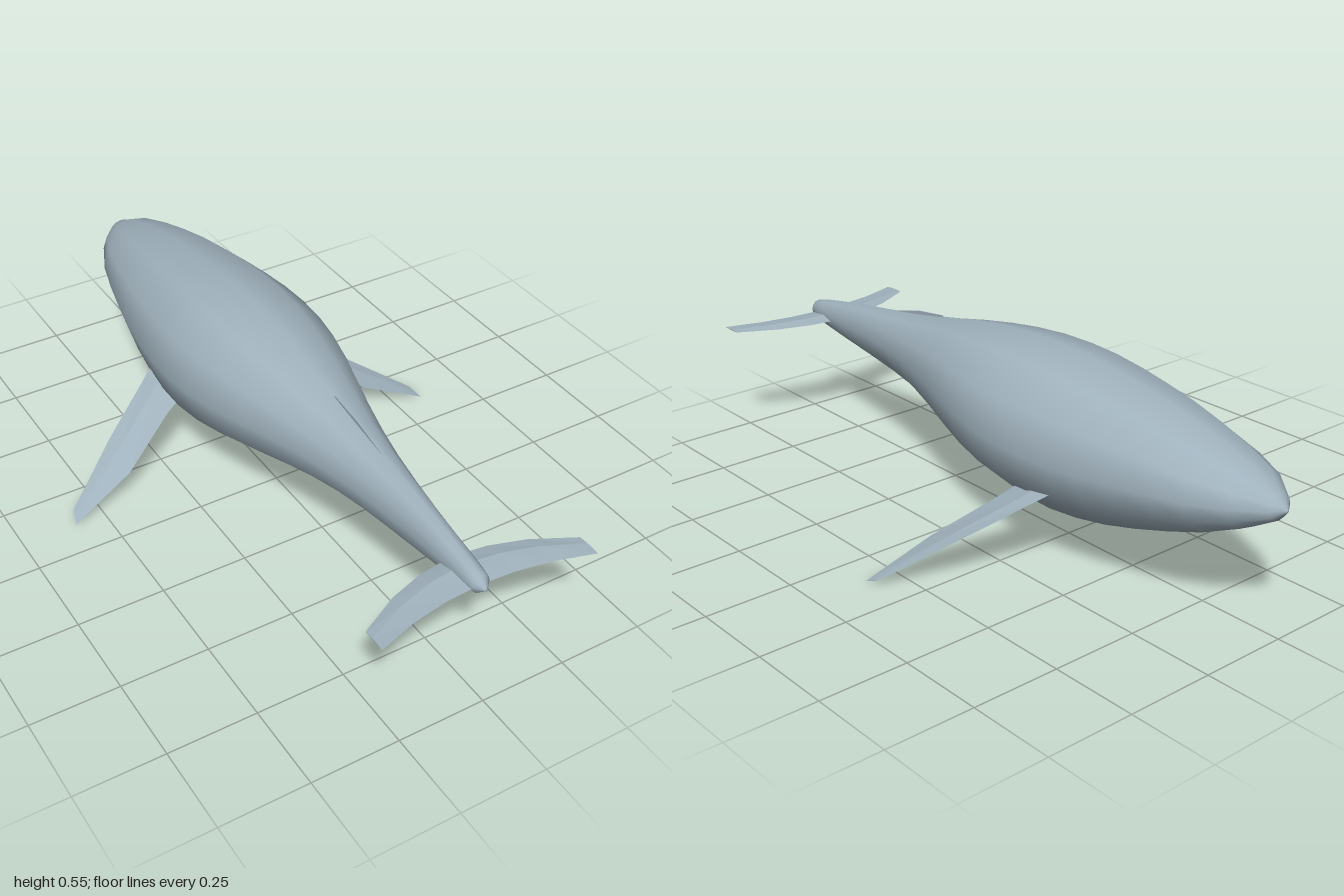
import * as THREE from 'three';

// Skin a list of closed rings (arrays of [x, y, z]) and cap both ends.
function loft(rings, { flip = false, smooth = false } = {}) {
  const n = rings[0].length, last = (rings.length - 1) * n;
  const index = [];
  const tri = (a, b, c) => (flip ? index.push(a, c, b) : index.push(a, b, c));
  for (let i = 0; i < rings.length - 1; i++) {
    for (let j = 0; j < n; j++) {
      const a = i * n + j, b = i * n + (j + 1) % n;
      tri(a, a + n, b);
      tri(b, a + n, b + n);
    }
  }
  for (let k = 1; k < n - 1; k++) {
    tri(0, k, k + 1);
    tri(last, last + k + 1, last + k);
  }
  let geo = new THREE.BufferGeometry();
  geo.setAttribute('position', new THREE.Float32BufferAttribute(rings.flat(2), 3));
  geo.setIndex(index);
  if (!smooth) geo = geo.toNonIndexed();
  geo.computeVertexNormals();
  return geo;
}

// Thin lens section between a leading and a trailing edge point.
function lens(lead, trail, thick) {
  const mid = lead.map((v, k) => v * 0.6 + trail[k] * 0.4);
  return [
    trail,
    [mid[0], mid[1] + thick / 2, mid[2]],
    lead,
    [mid[0], mid[1] - thick / 2, mid[2]],
  ];
}

export function createModel() {
  const group = new THREE.Group();
  const skin = new THREE.MeshStandardMaterial({ color: 0xa0b2bd });
  skin.name = 'blueGreySkin';
  const add = (name, geo) => {
    const mesh = new THREE.Mesh(geo, skin);
    mesh.name = name;
    group.add(mesh);
  };

  // Body stations from snout to tail: z, half width, top y, bottom y
  const stations = [
    [-1.0, 0.003, 0.348, 0.342], [-0.975, 0.038, 0.378, 0.312],
    [-0.9, 0.1, 0.418, 0.268], [-0.8, 0.145, 0.45, 0.222],
    [-0.7, 0.173, 0.477, 0.187], [-0.6, 0.196, 0.5, 0.156],
    [-0.5, 0.215, 0.517, 0.13], [-0.4, 0.229, 0.532, 0.112],
    [-0.3, 0.238, 0.543, 0.103], [-0.2, 0.24, 0.547, 0.107],
    [-0.1, 0.232, 0.546, 0.122], [0, 0.213, 0.539, 0.145],
    [0.1, 0.186, 0.526, 0.174], [0.2, 0.154, 0.509, 0.203],
    [0.3, 0.124, 0.488, 0.228], [0.4, 0.097, 0.47, 0.248],
    [0.5, 0.076, 0.454, 0.262], [0.6, 0.06, 0.44, 0.273],
    [0.7, 0.047, 0.427, 0.284], [0.8, 0.038, 0.41, 0.297],
    [0.9, 0.031, 0.392, 0.313], [0.945, 0.026, 0.38, 0.326],
    [0.968, 0.003, 0.353, 0.347],
  ];
  add('body', loft(stations.map(([z, w, top, bottom]) =>
    Array.from({ length: 12 }, (_, j) => {
      const a = j * Math.PI / 6;
      return [w * Math.sin(a), (top + bottom) / 2 + (top - bottom) / 2 * Math.cos(a), z];
    })), { smooth: true }));

  // Flippers: leading edge, trailing edge, thickness; mirrored in x
  const flipper = [
    [[0.13, 0.265, -0.41], [0.13, 0.23, -0.26], 0.016],
    [[0.21, 0.225, -0.385], [0.23, 0.18, -0.228], 0.014],
    [[0.4, 0.122, -0.272], [0.4, 0.085, -0.145], 0.01],
    [[0.575, 0.018, -0.155], [0.59, 0.001, -0.11], 0.002],
  ];
  for (const s of [1, -1]) {
    const side = ([x, y, z]) => [s * x, y, z];
    add(s > 0 ? 'leftFlipper' : 'rightFlipper', loft(
      flipper.map(([lead, trail, t]) => lens(side(lead), side(trail), t)),
      { flip: s < 0 }));
  }

  // Tail fluke: x, leading z, trailing z, thickness
  const half = [
    [0, 0.825, 0.94, 0.022], [0.1, 0.838, 0.946, 0.017],
    [0.2, 0.87, 0.963, 0.011], [0.315, 0.93, 0.998, 0.004],
  ];
  const span = [
    ...half.slice(1).reverse().map(([x, ...rest]) => [-x, ...rest]),
    ...half,
  ];
  add('tailFluke', loft(span.map(([x, lead, trail, t]) =>
    lens([x, 0.344, lead], [x, 0.344, trail], t))));

  // Low dorsal ridge
  const ridge = new THREE.Shape();
  ridge.moveTo(0.28, 0.46);
  ridge.lineTo(0.3, 0.493);
  ridge.lineTo(0.41, 0.479);
  ridge.lineTo(0.52, 0.452);
  ridge.lineTo(0.52, 0.43);
  const ridgeGeo = new THREE.ExtrudeGeometry(ridge, { depth: 0.003, bevelEnabled: false });
  ridgeGeo.rotateY(-Math.PI / 2).translate(0.0015, 0, 0);
  add('dorsalRidge', ridgeGeo);

  return group;
}
